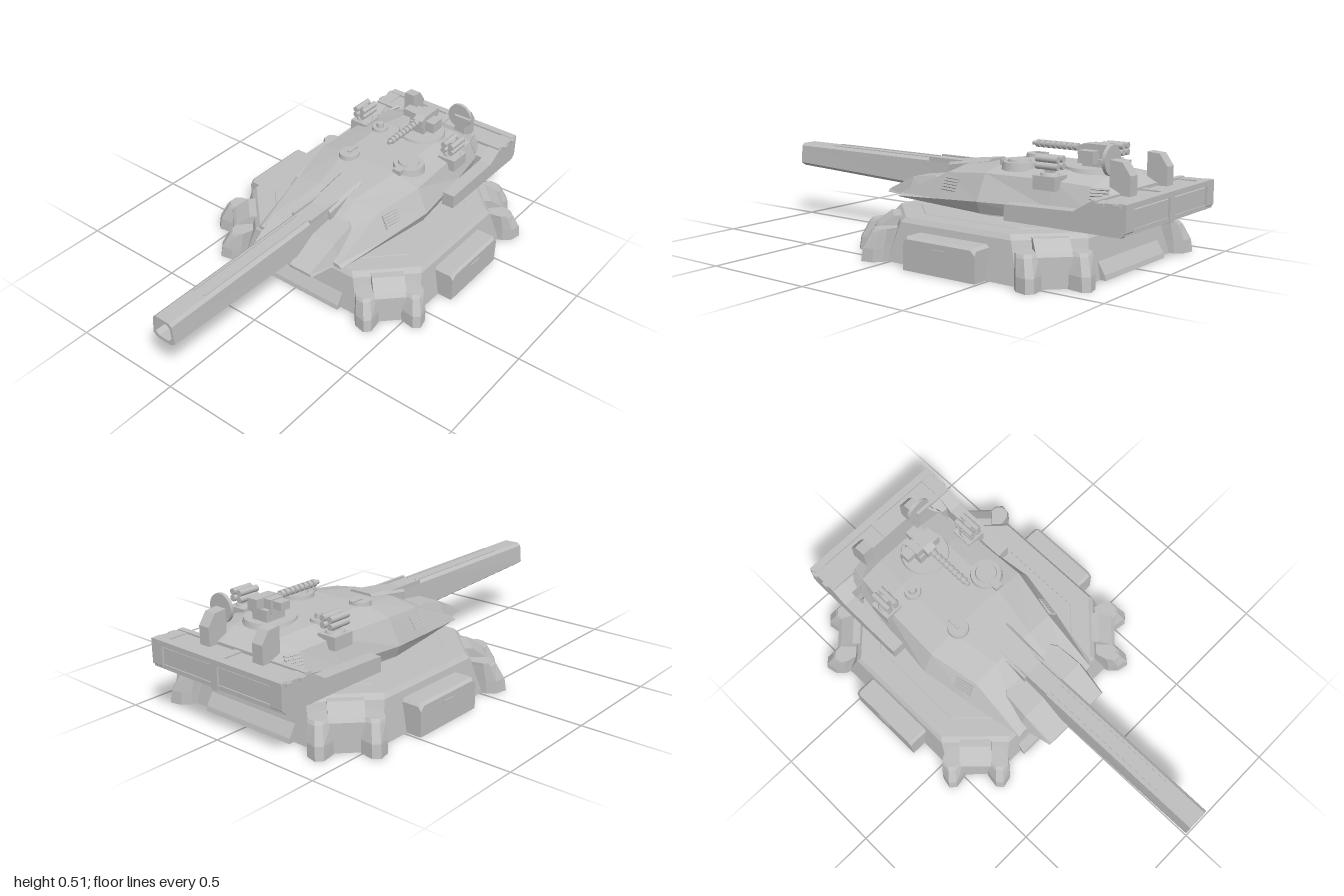
import * as THREE from 'three';

const grey = new THREE.MeshStandardMaterial({ color: 0xbebebe });
grey.name = 'plain grey';
const CX = 0.31; // centre of the base and turret ring

// Skin a list of equal-length convex rings of [x, y, z], with flat faces and capped ends
function loft(rings) {
  const pos = [], tri = (...p) => p.forEach(v => pos.push(...v));
  const n = rings[0].length, last = rings[rings.length - 1];
  for (let i = 0; i < rings.length - 1; i++) {
    for (let j = 0; j < n; j++) {
      const k = (j + 1) % n, a = rings[i], b = rings[i + 1];
      tri(a[j], a[k], b[k], a[j], b[k], b[j]);
    }
  }
  for (let j = 1; j < n - 1; j++) {
    tri(rings[0][0], rings[0][j + 1], rings[0][j]);
    tri(last[0], last[j], last[j + 1]);
  }
  const g = new THREE.BufferGeometry();
  g.setAttribute('position', new THREE.Float32BufferAttribute(pos, 3));
  g.computeVertexNormals();
  return g;
}

// Rings reflected in z when s is -1, reordered so the faces stay outward
const mirror = (rings, s) => s > 0 ? rings : rings.map(r => r.map(([x, y, z]) => [x, y, -z]).reverse());

// Mirrored ring at x, from [halfWidth, y] pairs listed bottom to top
const sym = (x, pts) => [
  ...pts.map(([w, y]) => [x, y, -w]),
  ...pts.slice().reverse().map(([w, y]) => [x, y, w])];

// Octagonal ring at height y: half size h, half flat length f
const oct = (y, h, f) => [[h, f], [h, -f], [f, -h], [-f, -h], [-h, -f], [-h, f], [-f, h], [f, h]]
  .map(([x, z]) => [CX + x, y, z]);

// Profile in x, y extruded from z0 to z1
function extrude(pts, z0, z1) {
  const s = new THREE.Shape(pts.map(p => new THREE.Vector2(...p)));
  return new THREE.ExtrudeGeometry(s, { depth: z1 - z0, bevelEnabled: false }).translate(0, 0, z0);
}

export function createModel() {
  const model = new THREE.Group();
  model.name = 'turretEmplacement';
  const add = (name, geo, parent = model) => {
    const m = new THREE.Mesh(geo, grey);
    m.name = name;
    parent.add(m);
    return m;
  };
  // Box given by its minimum and maximum corners
  const box = (name, a, b, parent) => add(name,
    new THREE.BoxGeometry(b[0] - a[0], b[1] - a[1], b[2] - a[2])
      .translate((a[0] + b[0]) / 2, (a[1] + b[1]) / 2, (a[2] + b[2]) / 2), parent);
  const disc = (name, r0, r1, x, y0, y1, z, parent, n = 24) => add(name,
    new THREE.CylinderGeometry(r1, r0, y1 - y0, n).translate(x, (y0 + y1) / 2, z), parent);
  const rod = (name, r, x0, x1, y, z, parent, n = 12) => add(name,
    new THREE.CylinderGeometry(r, r, x1 - x0, n).rotateZ(Math.PI / 2).translate((x0 + x1) / 2, y, z), parent);

  // Octagonal base with a raised deck and the turret ring
  add('base', loft([oct(0, 0.515, 0.325), oct(0.165, 0.485, 0.275), oct(0.185, 0.47, 0.26)]));
  add('deck', loft([oct(0.18, 0.385, 0.235), oct(0.188, 0.38, 0.23)]));
  disc('turretRing', 0.25, 0.25, CX, 0.18, 0.21, 0, model, 40);

  // Clawed feet on the four chamfered corners: two tapering prongs joined by a brace
  const prong = [[0.52, 0.05], [0.52, 0.1], [0.61, 0.148], [0.655, 0.15], [0.7, 0.122], [0.698, 0.088], [0.645, 0.05]];
  const prongRing = (y, t) => prong.map(([u, v]) => [u - t * Math.max(0, u - 0.57), y, v - t * 0.25 * (v - 0.1)]);
  for (let i = 0; i < 4; i++) {
    const foot = new THREE.Group();
    foot.name = 'foot';
    foot.position.x = CX;
    foot.rotation.y = Math.PI / 4 + i * Math.PI / 2;
    model.add(foot);
    for (const s of [-1, 1]) {
      const rings = [prongRing(0, 0), prongRing(0.055, 0.06), prongRing(0.122, 0.35), prongRing(0.135, 0.45)];
      add('prong', loft(mirror(rings.map(r => r.reverse()), -s).map(r => r.reverse())
        .map(r => r.map(([x, y, z]) => [x, y, -z]).reverse())), foot);
    }
    add('footBrace', extrude([[0.5, 0], [0.64, 0], [0.635, 0.12], [0.62, 0.135], [0.56, 0.175], [0.5, 0.175]],
      -0.07, 0.07), foot);
  }

  for (const s of [-1, 1]) {
    // Storage boxes on the long sides, with a handle
    const locker = new THREE.Group();
    locker.name = 'storageBox';
    locker.position.x = CX;
    locker.rotation.y = s > 0 ? 0 : Math.PI;
    model.add(locker);
    const face = (z, c, top) => [[-0.178, 0], [0.178, 0], [0.178, top - c], [0.178 - c, top],
      [-0.178 + c, top], [-0.178, top - c]].map(([x, y]) => [x, y, z]);
    add('boxBody', loft([face(0.46, 0.012, 0.137), face(0.57, 0.012, 0.137), face(0.583, 0.02, 0.127)]), locker);
    box('boxHandle', [-0.035, 0.093, 0.58], [0.035, 0.105, 0.587], locker);

    // Low sloping ramps at both ends
    const ramp = add('ramp', extrude([[0.44, 0], [0.54, 0], [0.535, 0.02], [0.505, 0.07], [0.44, 0.07]], -0.235, 0.235));
    ramp.position.x = CX;
    ramp.rotation.y = s > 0 ? 0 : Math.PI;
  }

  const turret = new THREE.Group();
  turret.name = 'turret';
  model.add(turret);

  // Faceted hull: x, then [half width, y] from floor to roof
  add('hull', loft([
    sym(-0.2, [[0.225, 0.205], [0.235, 0.21], [0.215, 0.222], [0.1, 0.225]]),
    sym(0.07, [[0.27, 0.205], [0.285, 0.235], [0.225, 0.34], [0.1, 0.36]]),
    sym(0.3, [[0.305, 0.205], [0.325, 0.255], [0.27, 0.365], [0.14, 0.392]]),
    sym(0.62, [[0.27, 0.205], [0.288, 0.26], [0.255, 0.365], [0.14, 0.392]]),
    sym(0.78, [[0.25, 0.205], [0.268, 0.27], [0.235, 0.355], [0.12, 0.378]]),
    sym(0.87, [[0.23, 0.205], [0.245, 0.28], [0.21, 0.325], [0.1, 0.335]])]), turret);

  for (const s of [-1, 1]) {
    // Wedge cheeks beside the gun
    const cheek = (x, inner, outer, foot, y) => [[x, 0.205, inner], [x, y, inner], [x, y, outer], [x, 0.205, foot]];
    add('cheek', loft(mirror([cheek(-0.32, 0.05, 0.16, 0.168, 0.218), cheek(-0.17, 0.05, 0.17, 0.2, 0.29),
      cheek(-0.05, 0.05, 0.16, 0.2, 0.305), cheek(0.04, 0.05, 0.09, 0.2, 0.32)], s)), turret);

    // Side vents of slanted slats
    for (const [x, y, z, ry, tilt, w] of [[0.115, 0.3, 0.262, -0.18, -0.53, 0.085], [0.815, 0.325, 0.24, 0.3, -0.5, 0.07]]) {
      const vent = new THREE.Group();
      vent.name = 'vent';
      vent.position.set(x, y, z * s);
      vent.rotation.set(tilt, s > 0 ? ry : Math.PI - ry, 0, 'YXZ');
      turret.add(vent);
      for (let i = 0; i < 5; i++) box('slat', [-w / 2, -0.03 + i * 0.013, -0.004], [w / 2, -0.022 + i * 0.013, 0.006], vent);
    }

    // Side skirts leading to the rear rack
    add('skirt', extrude([[0.46, 0.205], [0.98, 0.205], [1, 0.225], [1, 0.328], [0.85, 0.325], [0.775, 0.28], [0.46, 0.27]],
      s > 0 ? 0.3 : -0.36, s > 0 ? 0.36 : -0.3), turret);
    for (const x of [0.88, 0.95]) box('rackLug', [x, 0.312, s * 0.362 - 0.007], [x + 0.03, 0.325, s * 0.362 + 0.007], turret);

    // Smoke launchers: pedestal, cradle and four tubes
    const z = 0.25 * s;
    box('launcherBase', [0.55, 0.33, z - 0.045], [0.65, 0.385, z + 0.045], turret);
    disc('launcherSwivel', 0.04, 0.035, 0.6, 0.385, 0.395, z, turret, 16);
    box('launcherCradle', [0.58, 0.39, z - 0.01], [0.62, 0.455, z + 0.01], turret);
    for (const dy of [0.421, 0.449]) for (const dz of [-0.019, 0.019]) rod('launcherTube', 0.014, 0.55, 0.65, dy, z + dz, turret);

    // Bevelled posts on the rear deck
    add('rearPost', extrude([[0.82, 0.3], [0.91, 0.3], [0.91, 0.4], [0.875, 0.45], [0.82, 0.455]],
      s * 0.147 - 0.027, s * 0.147 + 0.027), turret);
  }

  // Rear rack: panel, full-width rails and centre rib
  add('rackBody', extrude([[0.8, 0.207], [0.975, 0.207], [0.99, 0.23], [0.99, 0.3], [0.97, 0.322], [0.85, 0.322], [0.8, 0.28]],
    -0.32, 0.32), turret);
  box('topRail', [0.965, 0.308, -0.355], [1, 0.33, 0.355], turret);
  box('frontRail', [0.845, 0.3, -0.355], [0.87, 0.33, 0.355], turret);
  box('lowerRail', [0.95, 0.212, -0.355], [0.995, 0.23, 0.355], turret);
  box('rackRib', [0.85, 0.205, -0.018], [0.999, 0.328, 0.018], turret);

  // Hollow-muzzled main gun, deepening towards its root
  const bore = x => sym(x, [[0.025, 0.263], [0.044, 0.277], [0.038, 0.33], [0.028, 0.342]]);
  const barrel = (x, yb) => sym(x, [[0.035, yb], [0.058, yb + 0.016], [0.05, 0.345], [0.036, 0.357]]);
  add('gunBarrel', loft([bore(-0.88), bore(-1), barrel(-1, 0.247), barrel(-0.31, 0.222), barrel(0.1, 0.215)]), turret);
  add('gunHousing', loft([sym(-0.06, [[0.062, 0.22], [0.062, 0.34], [0.045, 0.357]]),
    sym(0.165, [[0.062, 0.22], [0.062, 0.375], [0.05, 0.384]])]), turret);
  for (const s of [-1, 1]) {
    box('gunRail', [-0.8, 0.35, s * 0.028 - 0.005], [-0.18, 0.36, s * 0.028 + 0.005], turret);
    box('housingRail', [-0.18, 0.345, s * 0.045 - 0.006], [0.06, 0.364, s * 0.045 + 0.006], turret);
  }

  // Roof hatches and periscope
  disc('smallHatch', 0.05, 0.045, 0.295, 0.375, 0.405, -0.11, turret);
  box('smallHatchHandle', [0.29, 0.4, -0.118], [0.35, 0.411, -0.102], turret);
  disc('largeHatch', 0.075, 0.068, 0.39, 0.375, 0.408, 0.155, turret);
  disc('largeHatchLid', 0.05, 0.045, 0.39, 0.405, 0.418, 0.155, turret);
  box('largeHatchHinge', [0.3, 0.375, 0.13], [0.35, 0.41, 0.17], turret);
  disc('periscope', 0.042, 0.035, 0.56, 0.37, 0.405, -0.13, turret);
  disc('periscopeCap', 0.02, 0.016, 0.56, 0.4, 0.425, -0.13, turret, 12);

  // Remote weapon station
  disc('stationRing', 0.115, 0.105, 0.66, 0.37, 0.402, 0.04, turret, 32);
  box('stationYoke', [0.63, 0.4, -0.012], [0.73, 0.45, 0.068], turret);
  add('stationReceiver', extrude([[0.61, 0.445], [0.72, 0.445], [0.75, 0.46], [0.75, 0.493], [0.64, 0.493], [0.61, 0.48]],
    0.02, 0.07), turret);
  box('stationSight', [0.64, 0.43, -0.018], [0.71, 0.49, 0.02], turret);
  box('stationCamera', [0.65, 0.452, -0.062], [0.7, 0.485, -0.015], turret);
  box('ammoBox', [0.64, 0.42, 0.07], [0.71, 0.47, 0.115], turret);
  rod('stationBarrel', 0.009, 0.38, 0.62, 0.472, 0.045, turret);
  for (let i = 0; i < 8; i++) rod('coolingCollar', 0.016, 0.4 + i * 0.026, 0.417 + i * 0.026, 0.472, 0.045, turret);

  // Upright sensor dish in front of its post
  rod('sensorDish', 0.06, 0.805, 0.82, 0.45, 0.15, turret, 32);
  box('dishBracket', [0.79, 0.445, 0.13], [0.808, 0.457, 0.215], turret);

  return model;
}
